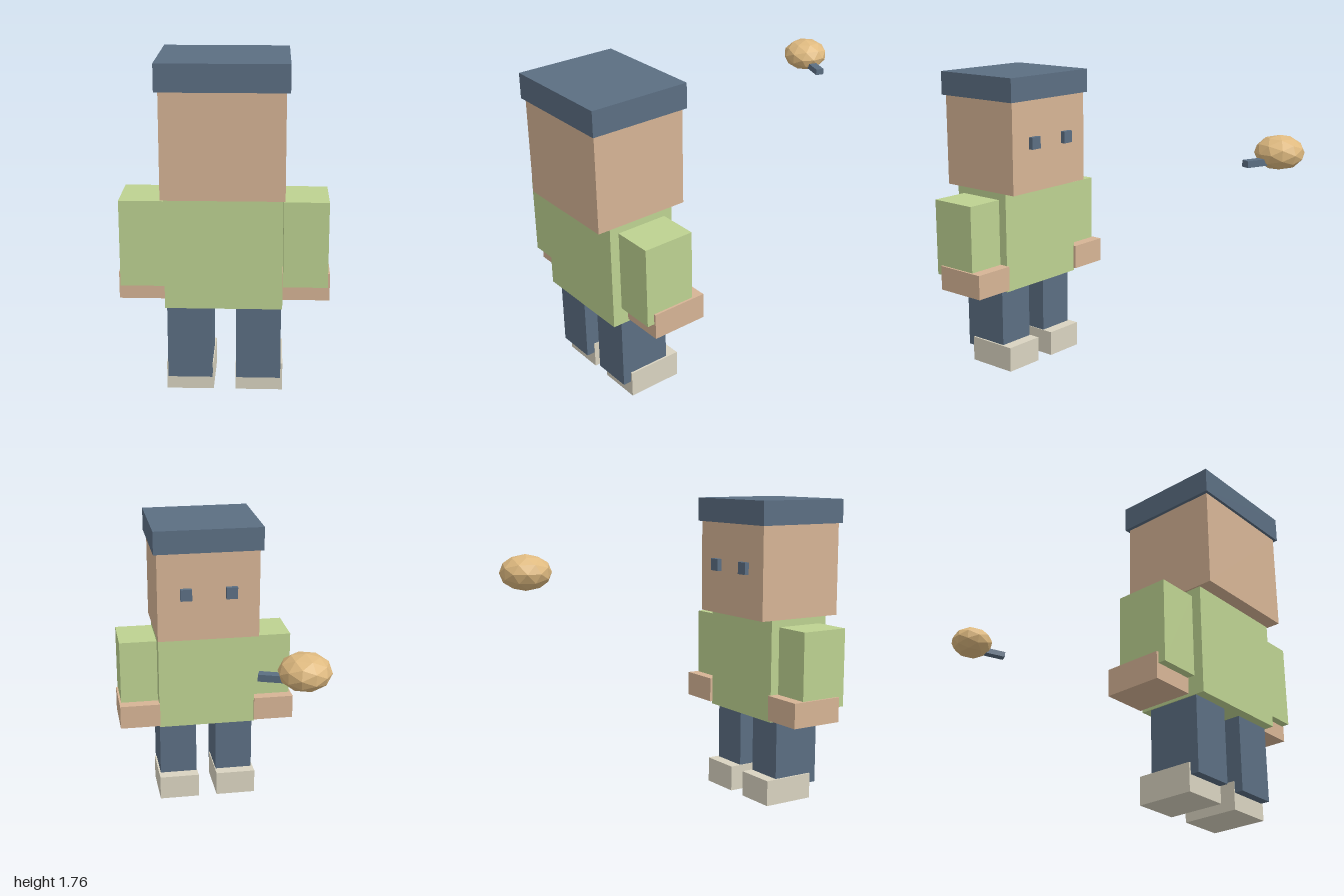
import * as THREE from 'three';

const mat = (color) => new THREE.MeshStandardMaterial({ color, flatShading: true });

export function createModel() {
  const slate = mat(0x5b6e82);
  const skin = mat(0xd6b495);
  const green = mat(0xbdd291);
  const stone = mat(0xd9d3c0);
  const straw = mat(0xdfba80);

  // Box given by its centre x and z, its bottom and top heights, width and depth
  const box = (parent, name, material, x, z, y0, y1, w, d) => {
    const mesh = new THREE.Mesh(new THREE.BoxGeometry(w, y1 - y0, d), material);
    mesh.name = name;
    mesh.position.set(x, (y0 + y1) / 2, z);
    parent.add(mesh);
  };

  const model = new THREE.Group();
  model.name = 'blockFigureAndFloatingBall';

  // Blocky figure, turned about the vertical; its face looks along local -z
  const figure = new THREE.Group();
  figure.name = 'figure';
  figure.position.set(0.183, 0, 0.622);
  figure.rotation.y = THREE.MathUtils.degToRad(20);
  model.add(figure);

  box(figure, 'torso', green, 0, 0, 0.495, 1.087, 0.594, 0.393);
  box(figure, 'head', skin, 0, 0, 1.087, 1.625, 0.612, 0.54);
  box(figure, 'cap', slate, 0, 0, 1.623, 1.761, 0.65, 0.57);

  // Paired parts
  for (const [side, s] of [['left', -1], ['right', 1]]) {
    box(figure, side + 'Eye', slate, s * 0.136, -0.275, 1.34, 1.41, 0.068, 0.045);
    box(figure, side + 'Sleeve', green, s * 0.414, 0, 0.595, 1.046, 0.227, 0.292);
    box(figure, side + 'Hand', skin, s * 0.417, -0.054, 0.51, 0.655, 0.245, 0.317);
    box(figure, side + 'Leg', slate, s * 0.177, 0, 0.09, 0.497, 0.229, 0.292);
    box(figure, side + 'Shoe', stone, s * 0.18, -0.058, 0, 0.15, 0.245, 0.313);
  }

  // Flattened faceted ball with a short stub, floating apart from the figure
  const floater = new THREE.Group();
  floater.name = 'floater';
  floater.position.set(-0.607, 1.435, -0.87);
  model.add(floater);

  const ball = new THREE.Mesh(new THREE.IcosahedronGeometry(0.13, 1), straw);
  ball.name = 'ball';
  ball.scale.y = 0.7;
  floater.add(ball);
  box(floater, 'stub', slate, 0.155, 0, -0.058, -0.023, 0.13, 0.047);

  return model;
}
